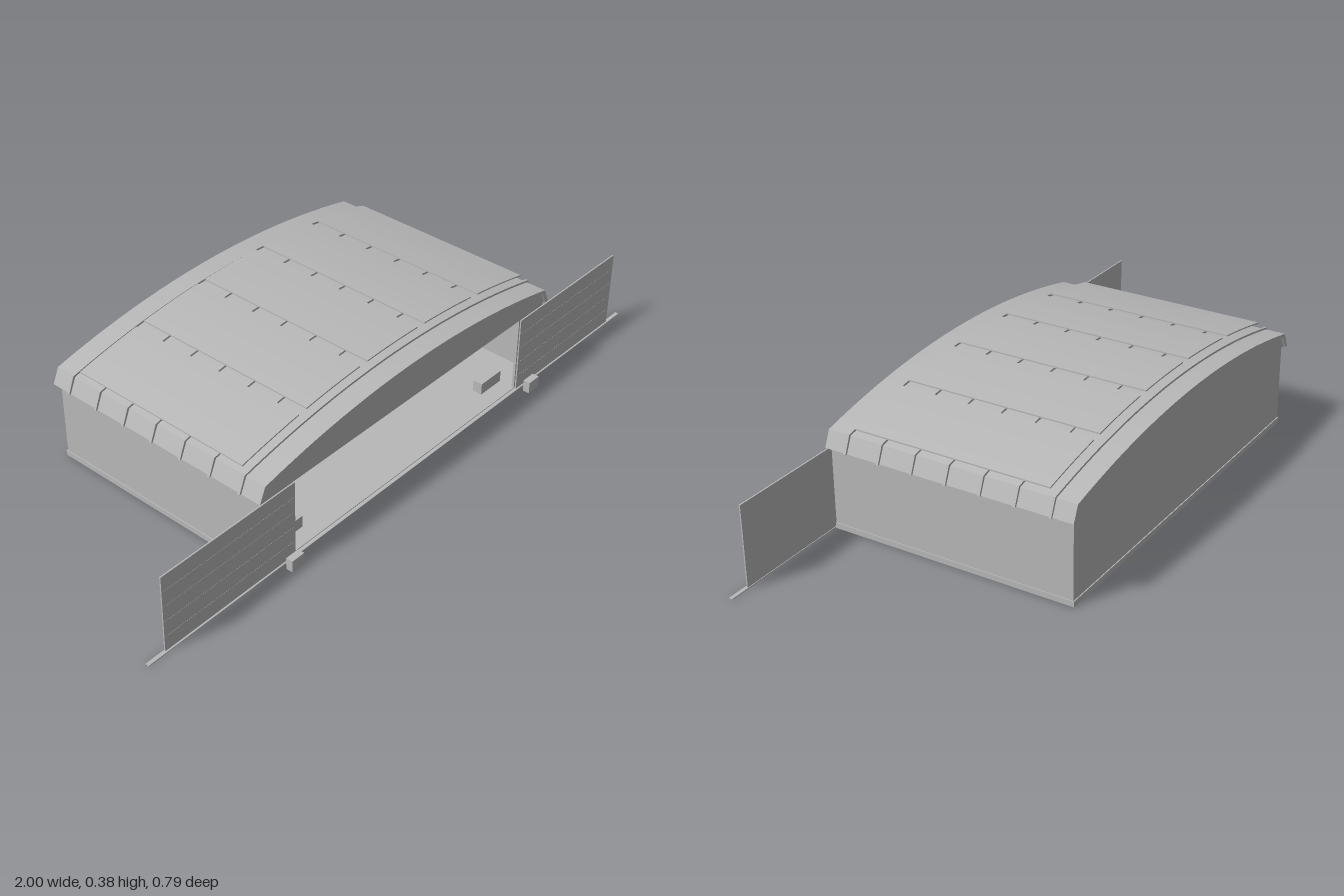
import * as THREE from 'three';

export function createModel() {
  const root = new THREE.Group();
  root.name = 'hangar';
  const grey = new THREE.MeshStandardMaterial({ color: 0xb8b8b8 });
  grey.name = 'light grey';

  const add = (name, geometry) => {
    const mesh = new THREE.Mesh(geometry, grey);
    mesh.name = name;
    root.add(mesh);
    return mesh;
  };
  // Box given by its minimum and maximum corners
  const box = (name, x0, x1, y0, y1, z0, z1) => {
    const mesh = add(name, new THREE.BoxGeometry(x1 - x0, y1 - y0, z1 - z0));
    mesh.position.set((x0 + x1) / 2, (y0 + y1) / 2, (z0 + z1) / 2);
    return mesh;
  };

  // Shallow roof arc, as a height over x
  const R = 2.587;
  const arcY = (x) => 0.357 - R + Math.sqrt(R * R - x * x);
  const arc = (x0, x1, lift, n) => {
    const pts = [];
    for (let i = 0; i <= n; i++) {
      const x = x0 + ((x1 - x0) * i) / n;
      pts.push(new THREE.Vector2(x, arcY(x) + lift));
    }
    return pts;
  };
  // Roof section from eave to eave, offset outward by d
  const section = (d) => [
    new THREE.Vector2(-0.602 - d, 0.245),
    ...arc(-0.582 - d, 0.582 + d, d, 24),
    new THREE.Vector2(0.602 + d, 0.245),
  ];
  const extrude = (name, outline, z0, z1) => {
    const geometry = new THREE.ExtrudeGeometry(new THREE.Shape(outline), {
      depth: z1 - z0, bevelEnabled: false,
    });
    geometry.translate(0, 0, z0);
    return add(name, geometry);
  };
  const band = (outer, inner) => [...outer, ...inner.reverse()];

  // Floor, back wall, lintel and ceiling
  box('floor', -0.585, 0.585, 0, 0.004, -0.385, 0.35);
  box('backWall', -0.585, 0.585, 0, 0.245, -0.385, -0.375);
  box('frontLintel', -0.585, 0.585, 0.237, 0.245, 0.342, 0.35);
  box('backPlinth', -0.588, 0.588, 0, 0.016, -0.388, -0.38);

  // Arched roof: recessed gable body, overhanging shell and ribs
  extrude('gableBody', section(-0.008), -0.387, 0.35);
  extrude('roofShell', band(section(0), section(-0.01)), -0.395, 0.357);
  for (let i = 0; i < 7; i++) {
    const z = 0.29 - i * 0.1035;
    extrude('roofRib', band(section(0.006), section(-0.004)), z - 0.004, z + 0.004);
  }

  // Raised roof panels
  for (const x of [-0.472, -0.236, 0, 0.236, 0.472]) {
    const outline = band(arc(x - 0.103, x + 0.103, 0.018, 6), arc(x - 0.103, x + 0.103, 0.014, 6));
    extrude('roofPanel', outline, -0.313, 0.275);
  }

  // Ground rail for the sliding doors
  box('doorRail', -1, 1, 0, 0.003, 0.351, 0.362);

  // Parts mirrored left and right
  for (const s of [-1, 1]) {
    const side = (name, x0, x1, ...rest) =>
      box(name, Math.min(s * x0, s * x1), Math.max(s * x0, s * x1), ...rest);
    side('sideWall', 0.575, 0.585, 0, 0.245, -0.385, 0.35);
    side('sidePlinth', 0.585, 0.588, 0, 0.016, -0.388, 0.35);
    side('frontWall', 0.475, 0.585, 0, 0.245, 0.342, 0.35);
    side('slidingDoor', 0.475, 0.94, 0.003, 0.24, 0.353, 0.357);
    // Thin horizontal ridges on each door
    for (let i = 1; i <= 4; i++) {
      side('doorRidge', 0.48, 0.935, i * 0.048 - 0.001, i * 0.048 + 0.001, 0.357, 0.3575);
    }
    side('bollard', 0.485, 0.53, 0, 0.036, 0.375, 0.396);
    side('entranceCrate', 0.385, 0.475, 0.004, 0.04, 0.27, 0.3);
    side('wallCrate', 0.54, 0.572, 0.004, 0.036, -0.025, 0.065);
  }

  // Row of small crates at the back
  for (let i = 0; i < 6; i++) {
    const x = -0.135 + i * 0.0475;
    box('backCrate', x - 0.016, x + 0.016, 0.004, 0.03, -0.35, -0.32);
  }

  return root;
}
